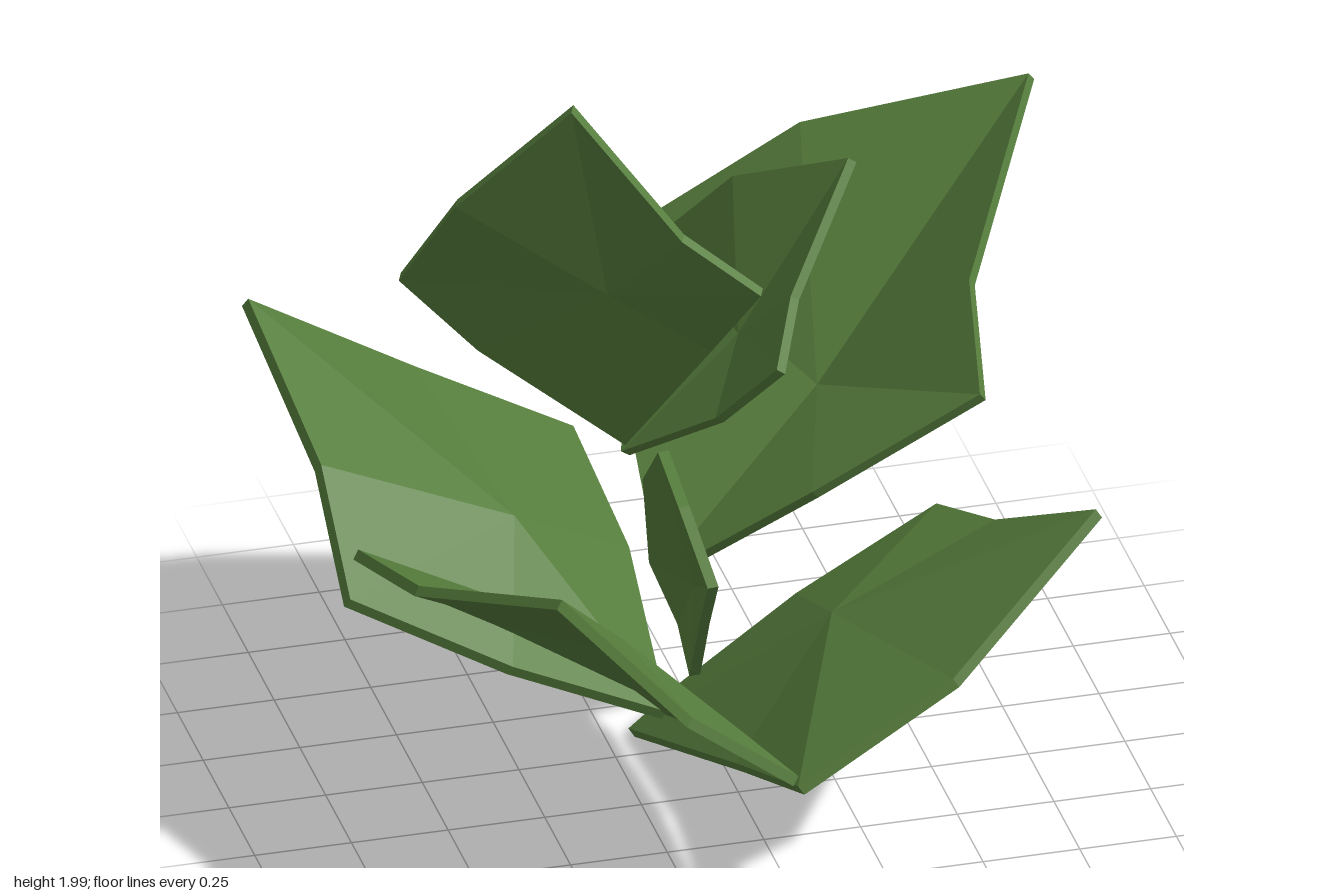
import * as THREE from 'three';

const THICKNESS = 0.028;

// Each leaf: a cupped or domed middle point, then the rim from the base, round the tip and back.
const LEAVES = {
  frontRightLowerLeaf: {
    middle: [-0.32, 0.52, 0.35],
    rim: [[-0.16, 0.11, -0.08], [-0.04, 0.26, 0.42], [0, 0.34, 0.81], [-0.28, 0.56, 0.83],
      [-0.65, 1.02, 0.955], [-0.89, 0.83, 0.47], [-0.93, 0.7, 0.03], [-0.6, 0.43, -0.06]],
  },
  frontLeftLowerLeaf: {
    middle: [0.25, 0.47, 0.25],
    rim: [[-0.185, 0.015, -0.09], [-0.03, 0.1, -0.145], [0.28, 0.27, -0.21], [0.65, 0.46, -0.235],
      [0.72, 0.57, 0.07], [0.845, 0.86, 0.58], [0.42, 0.55, 0.79], [0.01, 0.32, 0.825],
      [-0.05, 0.19, 0.45]],
  },
  backLeftLeaf: {
    middle: [0.35, 0.83, -0.27],
    rim: [[-0.13, 0.5, 0], [0.22, 0.78, 0.17], [0.63, 1.05, 0.26], [0.69, 1.19, -0.07],
      [0.985, 1.45, -0.6], [0.46, 1.25, -0.85], [0.06, 0.95, -0.965], [-0.07, 0.76, -0.63]],
  },
  backRightLeaf: {
    middle: [-0.44, 0.55, -0.3],
    rim: [[-0.14, 0.14, 0.06], [-0.09, 0.3, -0.5], [-0.13, 0.44, -0.89], [-0.53, 0.65, -0.925],
      [-0.995, 0.98, -0.8], [-0.945, 0.78, -0.28], [-0.955, 0.57, 0.04], [-0.55, 0.35, 0.1]],
  },
  topLeaf: {
    middle: [-0.29, 1.39, 0.08],
    rim: [[-0.22, 0.9, -0.01], [-0.04, 1.23, 0.15], [0.04, 1.475, 0.33], [-0.15, 1.63, 0.28],
      [-0.41, 1.985, 0.18], [-0.67, 1.67, 0.03], [-0.775, 1.39, -0.125], [-0.58, 1.18, -0.09]],
  },
  upperLeftLeaf: {
    middle: [0.08, 1.16, -0.01],
    rim: [[-0.22, 0.86, -0.02], [-0.04, 1.06, 0.22], [0.08, 1.26, 0.365], [0.16, 1.37, 0.2],
      [0.37, 1.61, -0.03], [0.14, 1.45, -0.29], [0, 1.23, -0.44], [-0.15, 1, -0.24]],
  },
  smallFrontLeaf: {
    middle: [-0.12, 0.66, 0.33],
    rim: [[-0.15, 0.55, 0], [-0.18, 0.82, 0.05], [-0.18, 0.98, 0.2], [-0.18, 0.93, 0.4],
      [-0.17, 0.83, 0.645], [-0.17, 0.68, 0.56], [-0.16, 0.46, 0.43], [-0.13, 0.48, 0.2]],
  },
};

// A thin faceted slab: two fans round the middle point, joined by a narrow rim.
function leafGeometry({ middle, rim }) {
  const centre = new THREE.Vector3(...middle);
  const points = rim.map((p) => new THREE.Vector3(...p));
  const count = points.length;
  const normal = new THREE.Vector3();
  points.forEach((p, i) => {
    const a = p.clone().sub(centre);
    const b = points[(i + 1) % count].clone().sub(centre);
    normal.add(a.cross(b));
  });
  normal.setLength(THICKNESS / 2);

  const upper = points.map((p) => p.clone().add(normal));
  const lower = points.map((p) => p.clone().sub(normal));
  const upperCentre = centre.clone().add(normal);
  const lowerCentre = centre.clone().sub(normal);

  const corners = [];
  for (let i = 0; i < count; i++) {
    const j = (i + 1) % count;
    corners.push(upperCentre, upper[i], upper[j]);
    corners.push(lowerCentre, lower[j], lower[i]);
    corners.push(upper[i], lower[i], lower[j], upper[i], lower[j], upper[j]);
  }
  const geometry = new THREE.BufferGeometry().setFromPoints(corners);
  geometry.computeVertexNormals();
  return geometry;
}

export function createModel() {
  const model = new THREE.Group();
  model.name = 'leafyPlant';
  const leafGreen = new THREE.MeshStandardMaterial({ color: 0x567d3c });
  leafGreen.name = 'leafGreen';
  leafGreen.flatShading = true;

  for (const [name, leaf] of Object.entries(LEAVES)) {
    const mesh = new THREE.Mesh(leafGeometry(leaf), leafGreen);
    mesh.name = name;
    model.add(mesh);
  }
  return model;
}
